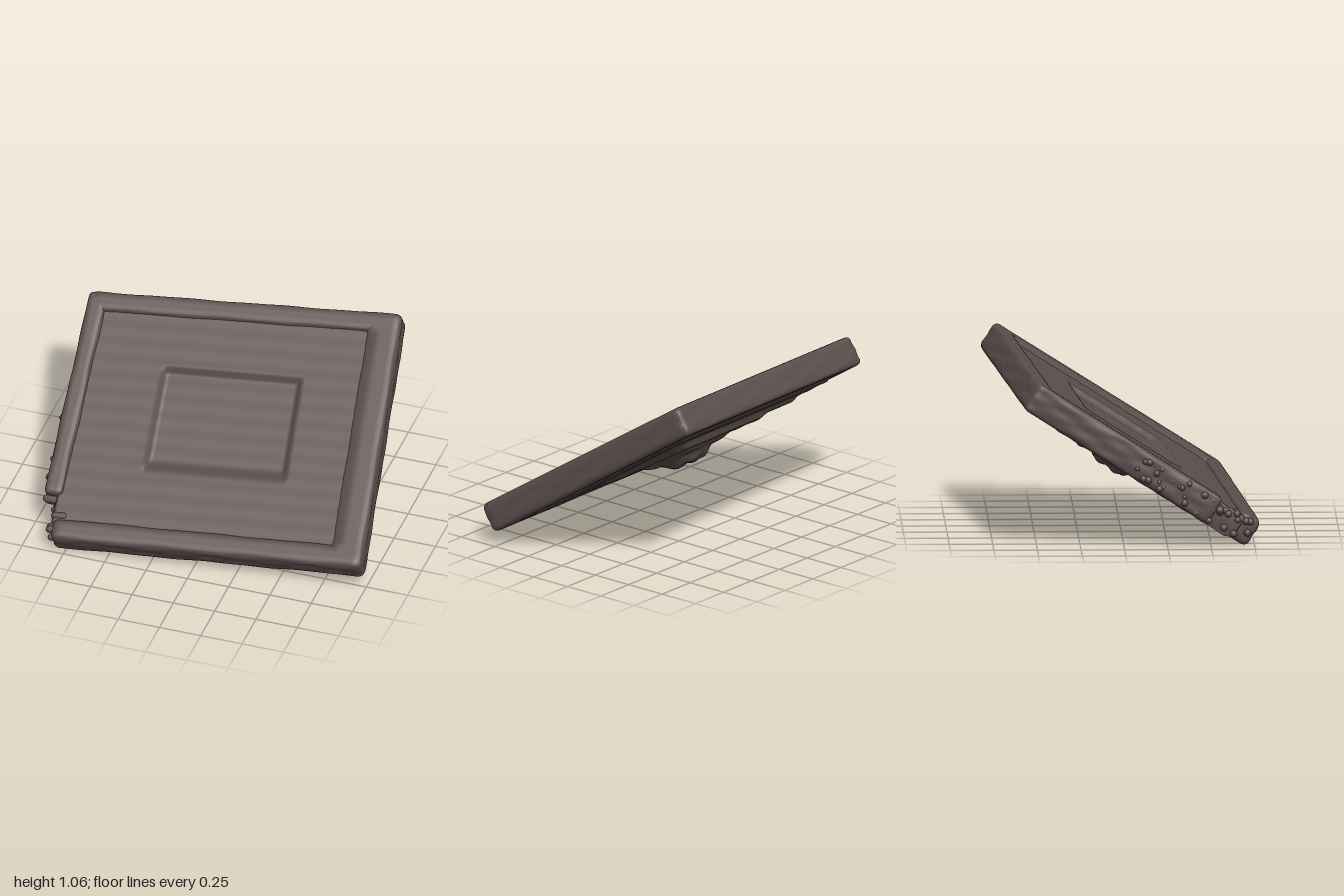
import * as THREE from 'three';
import { mergeVertices } from 'three/addons/utils/BufferGeometryUtils.js';

const material = new THREE.MeshStandardMaterial({ color: 0x5c4f4d });
const { clamp, smoothstep } = THREE.MathUtils;

let seed = 7;
const random = () => (seed = (seed * 16807) % 2147483647) / 2147483647;

// Subdivided box whose vertices are moved by a rule, with smooth normals.
function shapedBox(size, segments, rule) {
  let geo = new THREE.BoxGeometry(...size, ...segments);
  geo.deleteAttribute('uv');
  geo.deleteAttribute('normal');
  geo = mergeVertices(geo, 1e-5);
  const pos = geo.attributes.position;
  const p = new THREE.Vector3();
  for (let i = 0; i < pos.count; i++) {
    rule(p.fromBufferAttribute(pos, i));
    pos.setXYZ(i, p.x, p.y, p.z);
  }
  geo.computeVertexNormals();
  return geo;
}

// Rounded, slightly uneven bar, centred on its own origin.
function roundedBar(size, segments, radius, wobble, phase) {
  const core = new THREE.Vector3(...size).multiplyScalar(0.5).subScalar(radius);
  const low = core.clone().negate();
  const inner = new THREE.Vector3();
  const across = size[0] > size[2] ? 'z' : 'x';
  const along = across === 'z' ? 'x' : 'z';
  return shapedBox(size, segments, (p) => {
    inner.copy(p).clamp(low, core);
    p.sub(inner).setLength(radius).add(inner);
    const t = p[along];
    const grain = Math.sin(t * 11 + p.y * 70 + phase) + 0.5 * Math.sin(t * 23 - p.y * 90 + phase * 2);
    p[across] += wobble * grain * Math.sign(p[across]);
  });
}

function addMesh(parent, name, geometry, x = 0, y = 0, z = 0) {
  const mesh = new THREE.Mesh(geometry, material);
  mesh.name = name;
  mesh.position.set(x, y, z);
  parent.add(mesh);
  return mesh;
}

// Signed distance to a rectangle on the panel: negative inside.
const rect = (x, z, cx, cz, hw, hh) => Math.max(Math.abs(x - cx) - hw, Math.abs(z - cz) - hh);

function fieldPanel() {
  return shapedBox([1.7, 0.145, 1.36], [110, 2, 90], (p) => {
    const { x, z } = p;
    if (p.y > 0.01) {
      // sunken middle panel, with a longer slope on its front edge
      const depth = 1 - smoothstep(rect(x, z, 0.012, -0.01, 0.413, 0.325), -0.02, 0);
      const front = z > 0.2 ? 1 - smoothstep(z, 0.23, 0.32) : 1;
      p.y -= 0.035 * Math.min(depth, front) + 0.0008 * Math.sin(z * 60);
    } else if (p.y < -0.01) {
      // proud field, thin raised ring, stepped base and ragged boss underneath
      const field = 1 - smoothstep(rect(x, z, -0.08, 0.06, 0.8, 0.6), -0.03, 0);
      const s = rect(x, z, 0, -0.005, 0.42, 0.315);
      const ring = (1 - smoothstep(s, -0.01, 0.02)) * smoothstep(s, -0.065, -0.03);
      const spur = 1 - smoothstep(rect(x, z, -0.55, -0.32, 0.17, 0.025), -0.02, 0.02);
      const base = 1 - smoothstep(s, -0.06, 0);
      const step = 1 - smoothstep(rect(x, z, -0.02, 0, 0.2, 0.17), -0.04, 0.06);
      const dx = x + 0.02, dz = z - 0.03;
      const r = Math.hypot(dx, dz);
      const boss = (1 - smoothstep(r, 0.09, 0.17)) * (0.88 + 0.12 * Math.sin(Math.atan2(dz, dx) * 5));
      const dimple = 1 - smoothstep(r, 0, 0.06);
      p.y -= 0.01 * field + (0.02 - 0.04 * z) * Math.max(ring, 0.7 * spur);
      p.y -= 0.012 * base + 0.037 * step + 0.052 * boss - 0.015 * dimple;
      p.y -= 0.0015 * Math.sin(z * 45 + Math.sin(x * 9));
    }
    // the left side splays outward toward the front
    p.x -= 0.06 * z * clamp(-x / 0.85, 0, 1) + 0.04;
  });
}

export function createModel() {
  const model = new THREE.Group();
  model.name = 'framedSlab';

  const slab = new THREE.Group();
  slab.name = 'slab';
  model.add(slab);

  addMesh(slab, 'fieldPanel', fieldPanel(), 0, -0.012, 0);

  // Long rails at the back and front, spreading slightly toward the right
  const back = addMesh(slab, 'backRail', roundedBar([1.82, 0.175, 0.118], [70, 10, 8], 0.03, 0.0018, 1), 0, 0, -0.709);
  back.rotation.y = 0.011;
  const front = addMesh(slab, 'frontRail', roundedBar([1.83, 0.175, 0.13], [70, 10, 8], 0.035, 0.002, 3), -0.005, 0, 0.725);
  front.rotation.y = -0.01;

  // Broad right rail, sloping down to the panel on its inner side
  const right = roundedBar([0.2, 0.175, 1.56], [12, 10, 60], 0.035, 0.0018, 5);
  const pos = right.attributes.position;
  for (let i = 0; i < pos.count; i++) {
    const inward = smoothstep(-pos.getX(i), 0.02, 0.1);
    if (Math.abs(pos.getZ(i)) < 0.67) pos.setY(i, pos.getY(i) * (1 - 0.25 * inward));
  }
  right.computeVertexNormals();
  addMesh(slab, 'rightRail', right, 0.812, 0, 0.005);

  // Narrow left rail, splayed, stopping short of the front rail
  const left = addMesh(slab, 'leftRail', roundedBar([0.11, 0.175, 1.26], [8, 10, 60], 0.03, 0.0025, 8), -0.908, 0, -0.125);
  left.rotation.y = -0.06;

  // Broken splinters along the front half of the left edge
  const splinters = new THREE.Group();
  splinters.name = 'splinters';
  slab.add(splinters);
  for (let i = 0; i < 26; i++) {
    const z = -0.02 + 0.54 * (i / 25);
    const chip = addMesh(splinters, 'splinter', new THREE.CapsuleGeometry(0.014 + 0.01 * random(), 0.05, 4, 8),
      -0.927 - 0.04 * (z + 0.1) - 0.015 * random(), (random() - 0.5) * 0.13, z);
    chip.rotation.set((random() - 0.5) * 0.5, (random() - 0.5) * 0.4, Math.PI / 2);
  }
  for (let i = 0; i < 10; i++) {
    const chip = addMesh(splinters, 'splinter', new THREE.CapsuleGeometry(0.022, 0.05, 4, 8),
      -0.89 - 0.02 * random(), (random() - 0.5) * 0.12, 0.54 + 0.022 * i);
    chip.rotation.z = Math.PI / 2;
  }

  // Tilt the finished slab: long side, face normal, short side
  const u = new THREE.Vector3(0.991, 0.054, -0.107).normalize();
  const v = new THREE.Vector3(0.125, -0.54, 0.832).normalize();
  const n = new THREE.Vector3().crossVectors(v, u).normalize();
  v.crossVectors(u, n);
  slab.quaternion.setFromRotationMatrix(new THREE.Matrix4().makeBasis(u, n, v));
  slab.position.y = 0.526;
  return model;
}
